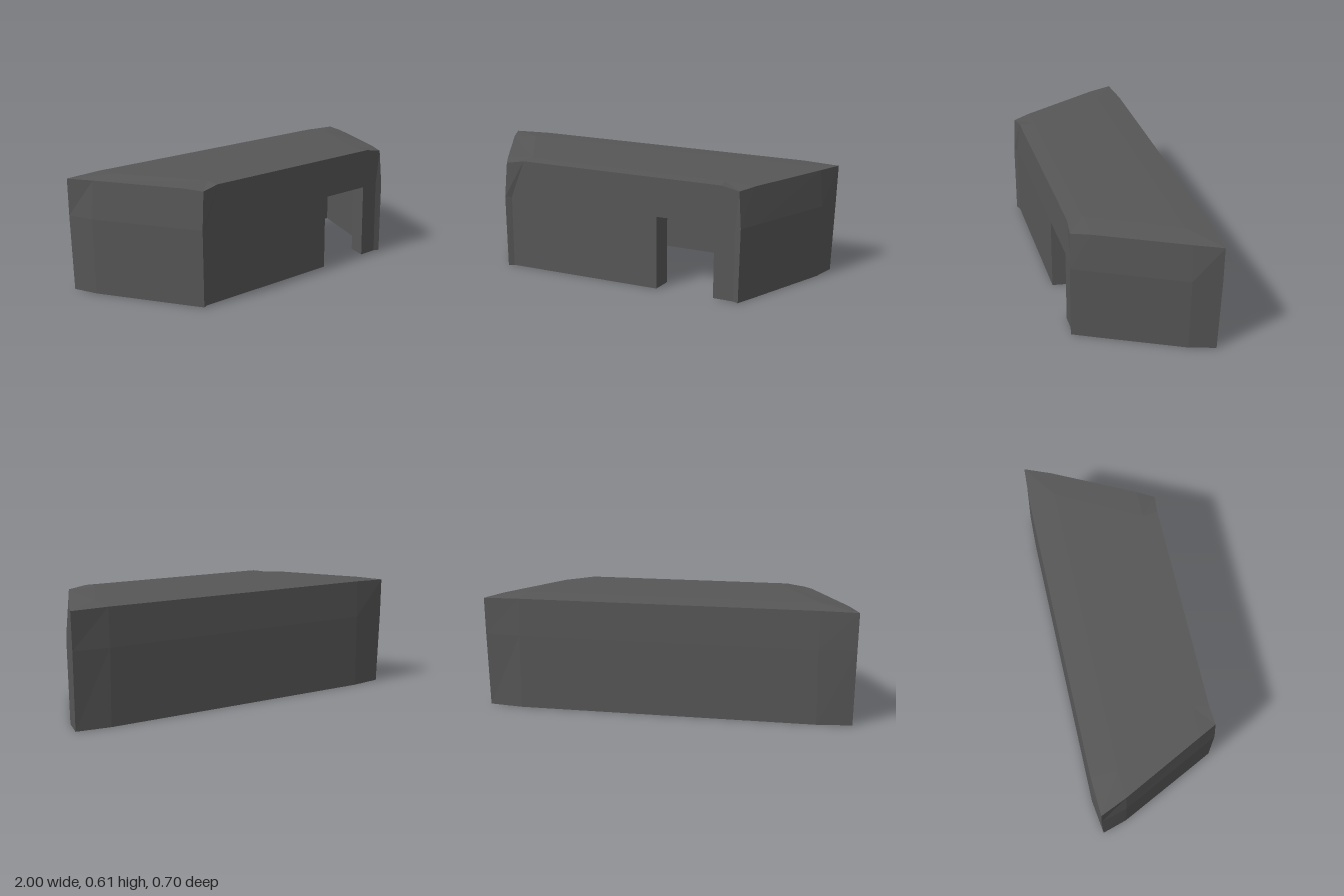
import * as THREE from 'three';

const DOOR = 2; // ring segment that spans the doorway

// Closed ring, counterclockwise from above, from the +x half:
// [frontEdge, frontCorner, sideFront, sideBack, backCorner, backEdge], plus the two door columns.
function ring(half, doorX) {
  const pts = half.map((p) => new THREE.Vector3(...p));
  const m = pts.map((p) => new THREE.Vector3(-p.x, p.y, p.z));
  const door = doorX.map((x) => new THREE.Vector3(x, pts[0].y, pts[0].z));
  return [m[1], m[0], ...door, ...pts, m[5], m[4], m[3], m[2]];
}

// Collects flat-shaded faces, dropping collapsed triangles
function surface() {
  const pos = [];
  const tri = (a, b, c) => {
    const area = b.clone().sub(a).cross(c.clone().sub(a)).length();
    if (area > 1e-6) for (const p of [a, b, c]) pos.push(p.x, p.y, p.z);
  };
  const quad = (a, b, c, d) => { tri(a, b, c); tri(a, c, d); };
  // Band from one ring to the next, optionally leaving out the doorway
  const band = (a, b, skip = -1) => a.forEach((p, i) => {
    const j = (i + 1) % a.length;
    if (i !== skip) quad(p, a[j], b[j], b[i]);
  });
  const mesh = (name) => {
    const g = new THREE.BufferGeometry();
    g.setAttribute('position', new THREE.Float32BufferAttribute(pos, 3));
    g.computeVertexNormals();
    const mat = new THREE.MeshStandardMaterial({ color: 0x575757 });
    const result = new THREE.Mesh(g, mat);
    result.name = name;
    return result;
  };
  return { tri, quad, band, mesh };
}

export function createModel() {
  const group = new THREE.Group();
  group.name = 'shelter';

  // Slightly bowed outer rings: ground, door head, eaves, roof plateau
  const doorX = [0.22, 0.54];
  const base = ring([[0.65, 0, 0.337], [0.68, 0, 0.35], [0.73, 0, 0.25],
    [0.945, 0, -0.19], [0.985, 0, -0.325], [0.8, 0, -0.35]], doorX);
  const head = ring([[0.65, 0.4, 0.337], [0.685, 0.4, 0.35], [0.736, 0.4, 0.25],
    [0.955, 0.4, -0.19], [0.995, 0.4, -0.332], [0.8, 0.4, -0.35]], doorX);
  const eaves = ring([[0.57, 0.61, 0.333], [0.67, 0.593, 0.343], [0.718, 0.6, 0.25],
    [0.94, 0.6, -0.19], [1.0, 0.596, -0.33], [0.8, 0.601, -0.341]], doorX);
  const plateau = ring([[0.56, 0.612, 0.25], [0.56, 0.612, 0.25], [0.56, 0.612, 0.25],
    [0.8, 0.612, -0.2], [0.8, 0.612, -0.2], [0.8, 0.612, -0.2]], doorX);

  // Inner room rings
  const inner = (y) => ring([[0.65, y, 0.23], [0.7, y, 0.23], [0.715, y, 0.2],
    [0.906, y, -0.19], [0.965, y, -0.31], [0.8, y, -0.31]], [0.235, 0.58]);
  const [inBase, inHead, inTop] = [0, 0.4, 0.56].map(inner);

  // Outer walls
  const walls = surface();
  walls.band(base, head, DOOR);
  walls.band(head, eaves);
  group.add(walls.mesh('outerWalls'));

  // Roof with gently falling borders
  const roof = surface();
  roof.band(eaves, plateau);
  for (let i = 1; i < plateau.length - 1; i++) roof.tri(plateau[0], plateau[i], plateau[i + 1]);
  group.add(roof.mesh('roof'));

  // Room walls and ceiling, facing inward
  const room = surface();
  room.band(inHead, inBase, DOOR);
  room.band(inTop, inHead);
  for (let i = 1; i < inTop.length - 1; i++) room.tri(inTop[0], inTop[i + 1], inTop[i]);
  group.add(room.mesh('room'));

  // Underside of the walls
  const rim = surface();
  rim.band(inBase, base, DOOR);
  group.add(rim.mesh('wallBase'));

  // Doorway jambs and lintel
  const L = DOOR, R = DOOR + 1;
  const doorway = surface();
  doorway.quad(base[L], inBase[L], inHead[L], head[L]);
  doorway.quad(inBase[R], base[R], head[R], inHead[R]);
  doorway.quad(head[L], inHead[L], inHead[R], head[R]);
  group.add(doorway.mesh('doorway'));

  return group;
}
